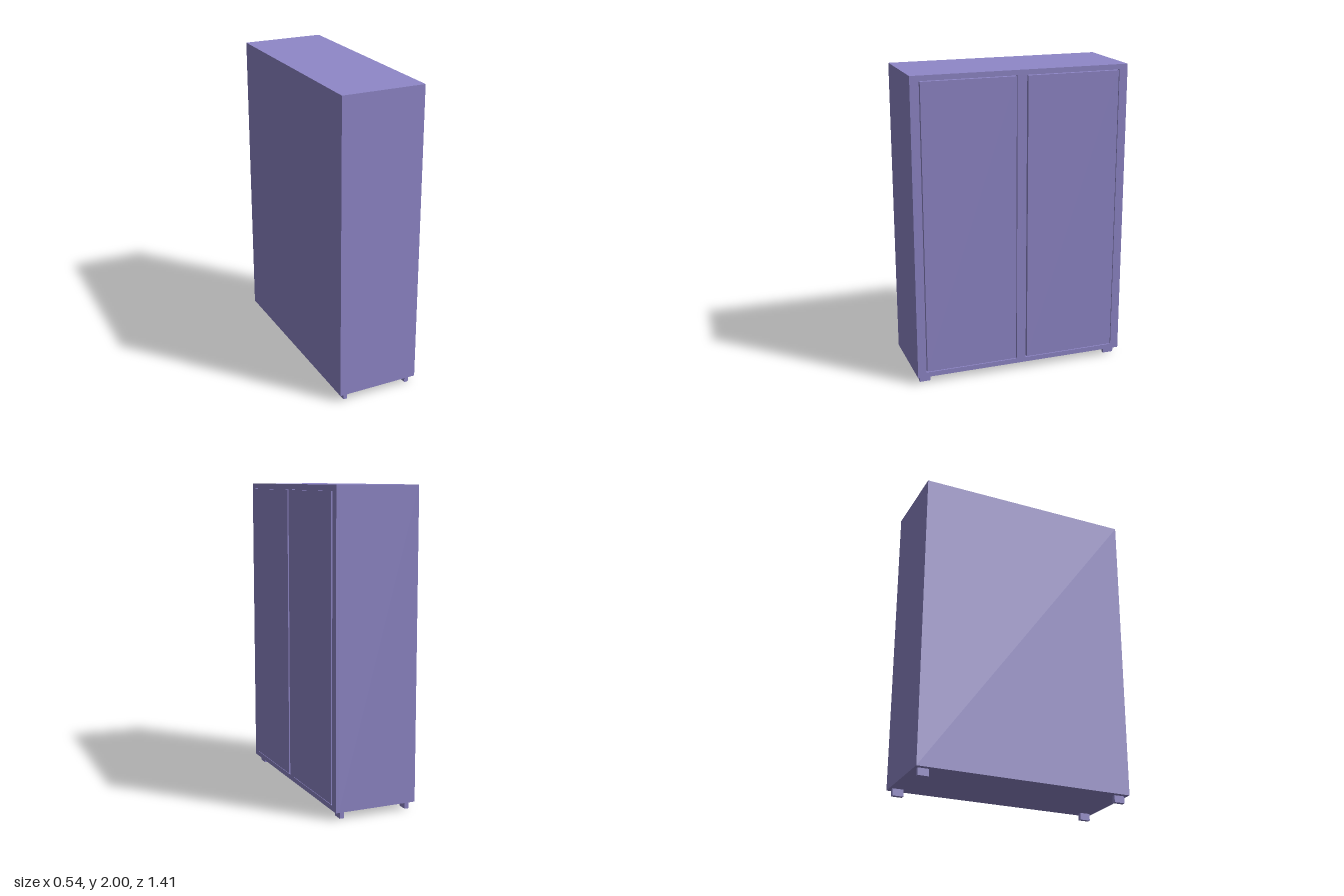
import * as THREE from 'three';

const material = new THREE.MeshStandardMaterial({ color: 0x8f87c8, flatShading: true });

// Box given by its min and max corners
function box(name, [x0, y0, z0], [x1, y1, z1]) {
  const mesh = new THREE.Mesh(new THREE.BoxGeometry(x1 - x0, y1 - y0, z1 - z0), material);
  mesh.position.set((x0 + x1) / 2, (y0 + y1) / 2, (z0 + z1) / 2);
  mesh.name = name;
  return mesh;
}

// Rectangle outline
function rect(Type, x0, y0, x1, y1) {
  const path = new Type();
  path.moveTo(x0, y0).lineTo(x1, y0).lineTo(x1, y1).lineTo(x0, y1).closePath();
  return path;
}

export function createModel() {
  const group = new THREE.Group();
  group.name = 'wardrobe';
  const back = -0.272, face = 0.267, bottom = 0.045, halfWidth = 0.707, recess = 0.02;

  // Cabinet body behind the door recesses
  group.add(box('cabinetBody', [back, bottom, -halfWidth], [face - recess, 2, halfWidth]));

  // Face frame with an opening for each door, turned to face +x
  const frame = rect(THREE.Shape, -halfWidth, bottom, halfWidth, 2);
  for (const s of [-1, 1]) {
    frame.holes.push(rect(THREE.Path, Math.min(s * 0.031, s * 0.652), 0.077, Math.max(s * 0.031, s * 0.652), 1.97));
  }
  const frameMesh = new THREE.Mesh(
    new THREE.ExtrudeGeometry(frame, { depth: recess, bevelEnabled: false }), material);
  frameMesh.rotation.y = Math.PI / 2;
  frameMesh.position.x = face - recess;
  frameMesh.name = 'faceFrame';
  group.add(frameMesh);

  for (const s of [-1, 1]) {
    const side = s > 0 ? 'Front' : 'Rear';
    // Door panel standing slightly proud, with a narrow gap around it
    const [z0, z1] = s > 0 ? [0.038, 0.645] : [-0.645, -0.038];
    group.add(box('door' + side, [face - recess, 0.084, z0], [0.272, 1.963, z1]));

    // Feet
    const [f0, f1] = s > 0 ? [0.617, 0.687] : [-0.687, -0.617];
    group.add(box('footLeft' + side, [0.205, 0, f0], [0.232, bottom, f1]));
    group.add(box('footRight' + side, [-0.24, 0, f0], [-0.213, bottom, f1]));
  }
  return group;
}
